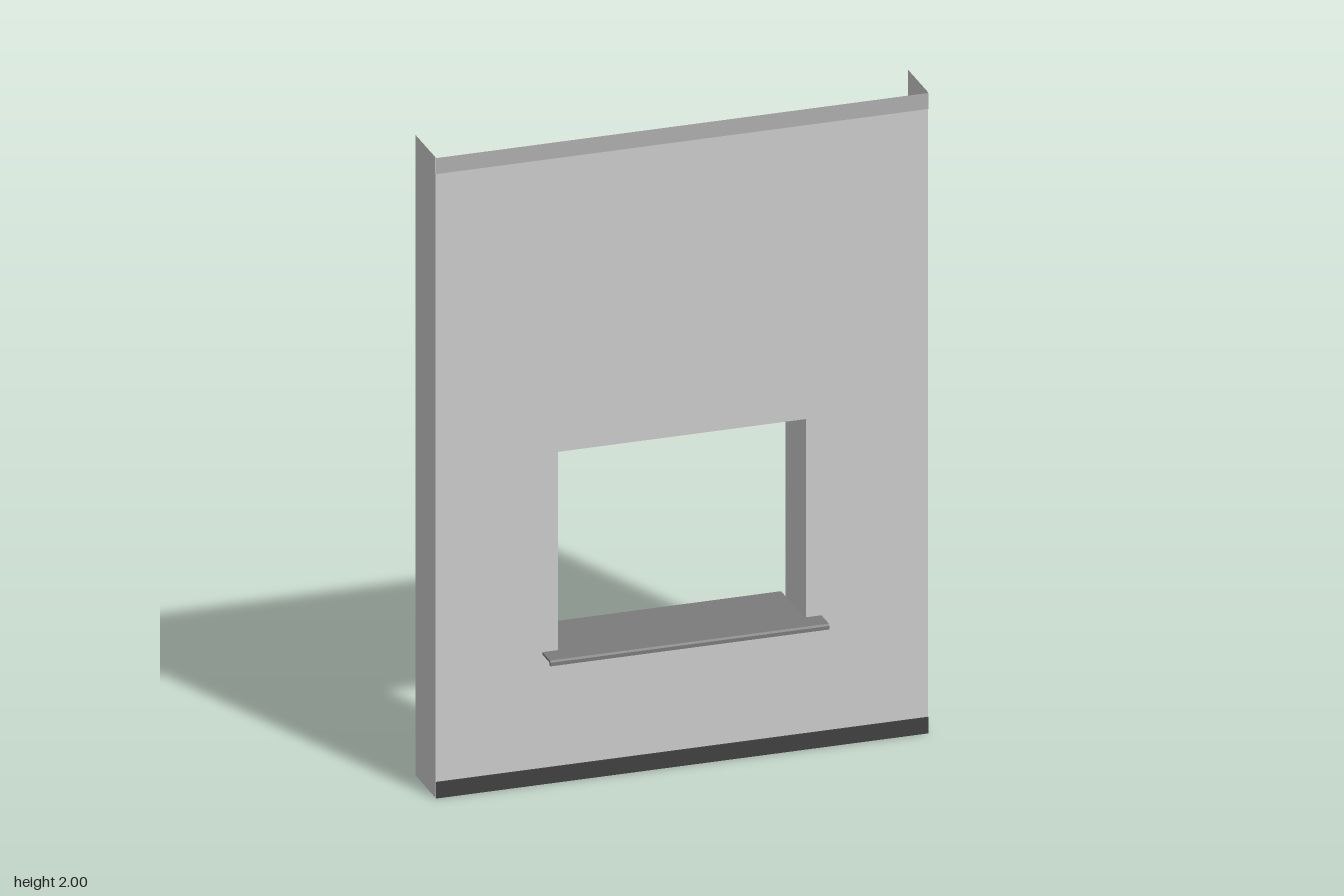
import * as THREE from 'three';

const W = 0.75, H = 2, FRONT = 0.073, BACK = -0.107, TRIM = 0.05, STEP = 0.005;
const HOLE = { x: 0.378, bottom: 0.402, top: 1.03 };

const material = (color) => new THREE.MeshStandardMaterial({ color, side: THREE.DoubleSide });
const wallMat = material(0xcccccc);
const topMat = material(0xafafaf);
const baseMat = material(0x414141);
const sillMat = material(0x7b7b7b);

function rect(shape, x, y0, y1) {
  shape.moveTo(-x, y0);
  shape.lineTo(x, y0);
  shape.lineTo(x, y1);
  shape.lineTo(-x, y1);
  shape.closePath();
  return shape;
}

export function createModel() {
  const model = new THREE.Group();
  const add = (name, geometry, mat, x = 0, y = 0, z = 0) => {
    const mesh = new THREE.Mesh(geometry, mat);
    mesh.name = name;
    mesh.position.set(x, y, z);
    model.add(mesh);
    return mesh;
  };
  const depth = FRONT - BACK, midZ = (FRONT + BACK) / 2;

  // thin sheets facing sideways or upwards
  const sideSheet = (h, d) => new THREE.PlaneGeometry(d, h).rotateY(Math.PI / 2);
  const flatSheet = (w, d) => new THREE.PlaneGeometry(w, d).rotateX(-Math.PI / 2);

  // front wall with the window opening
  const wall = rect(new THREE.Shape(), W, TRIM, H - TRIM);
  wall.holes.push(rect(new THREE.Path(), HOLE.x, HOLE.bottom, HOLE.top));
  add('frontWall', new THREE.ShapeGeometry(wall), wallMat, 0, 0, FRONT);

  // top trim and base trim, each stepped slightly forward of the wall
  for (const [name, y, edge, mat] of [
    ['topTrim', H - TRIM / 2, H - TRIM, topMat],
    ['baseTrim', TRIM / 2, TRIM, baseMat],
  ]) {
    add(name, new THREE.PlaneGeometry(2 * W, TRIM), mat, 0, y, FRONT + STEP);
    add(name + 'Ledge', flatSheet(2 * W, STEP), mat, 0, edge, FRONT + STEP / 2);
  }

  // returns at both wall ends and reveals at both sides of the window
  const holeH = HOLE.top - HOLE.bottom;
  for (const [side, s] of [['left', 1], ['right', -1]]) {
    const end = sideSheet(H, depth), reveal = sideSheet(holeH, depth);
    if (s < 0) { end.rotateY(Math.PI); reveal.rotateY(Math.PI); }
    add(side + 'WallReturn', end, wallMat, s * W, H / 2, midZ);
    add(side + 'Reveal', reveal, wallMat, s * HOLE.x, (HOLE.top + HOLE.bottom) / 2, midZ);
  }
  add('topReveal', flatSheet(2 * HOLE.x, depth), wallMat, 0, HOLE.top, midZ);
  add('bottomReveal', flatSheet(2 * HOLE.x, depth), wallMat, 0, HOLE.bottom, midZ);

  // sill board running through the opening and a little past its back
  const sillBack = -0.148;
  add('innerSill', flatSheet(2 * HOLE.x, FRONT - sillBack), sillMat, 0, 0.405, (FRONT + sillBack) / 2);

  // projecting sill nose with a turned-down lip, profile in (z, y)
  const profile = new THREE.Shape([
    [0.073, 0.404], [0.134, 0.404], [0.138, 0.401], [0.138, 0.395],
    [0.145, 0.395], [0.145, 0.406], [0.139, 0.411], [0.073, 0.411],
  ].map(([z, y]) => new THREE.Vector2(z, y)));
  const nose = new THREE.ExtrudeGeometry(profile, { depth: 0.85, bevelEnabled: false });
  nose.translate(0, 0, -0.425).rotateY(-Math.PI / 2).scale(1, 1, 1);
  add('outerSill', nose, sillMat);

  return model;
}
